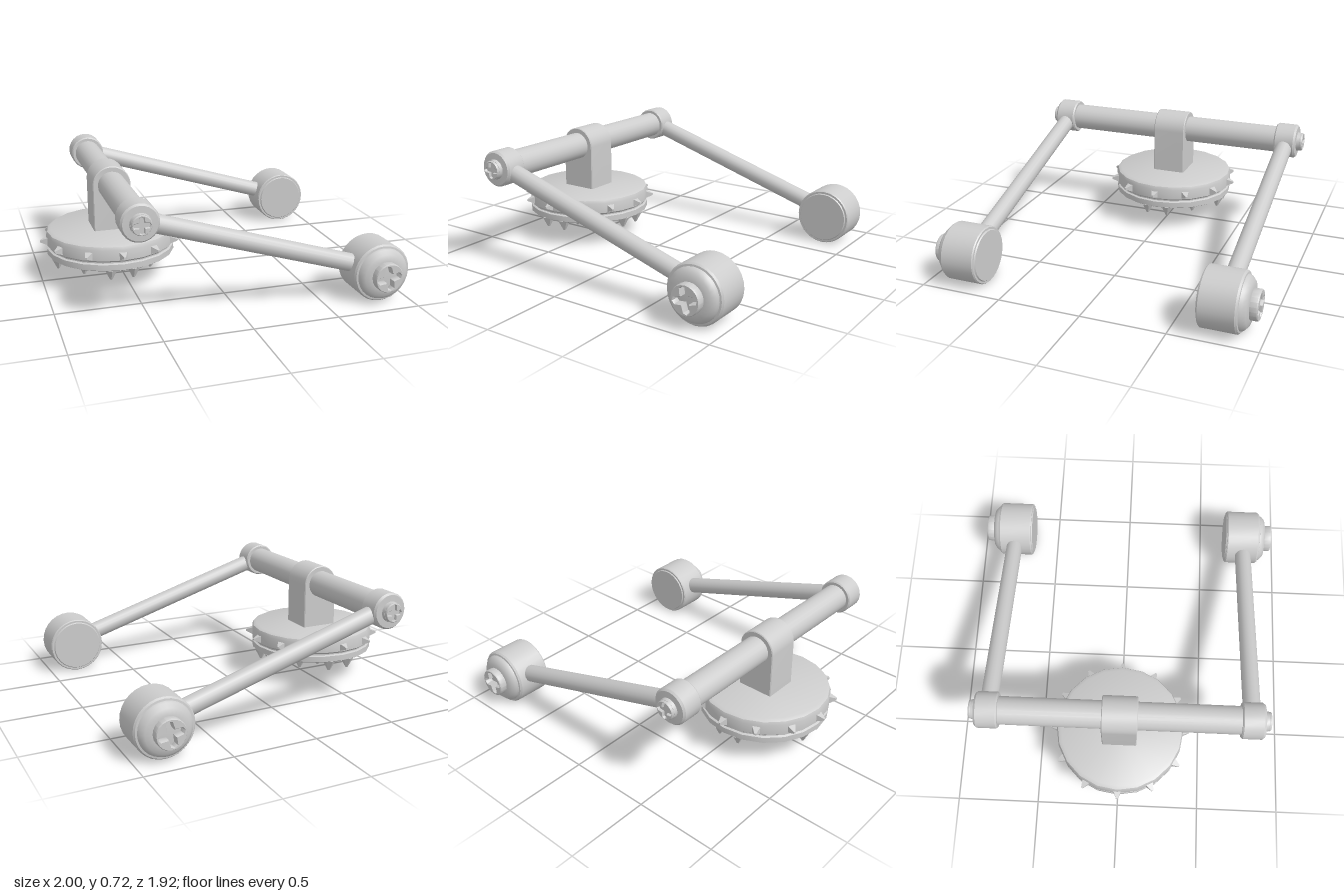
import * as THREE from 'three';
import { toCreasedNormals } from 'three/addons/utils/BufferGeometryUtils.js';

export function createModel() {
  const model = new THREE.Group();
  model.name = 'spikedPressTool';
  const grey = new THREE.MeshStandardMaterial({ color: 0xcccccc });
  grey.name = 'lightSteelGrey';

  const add = (parent, name, geometry, x = 0, y = 0, z = 0) => {
    const mesh = new THREE.Mesh(geometry, grey);
    mesh.name = name;
    mesh.position.set(x, y, z);
    parent.add(mesh);
    return mesh;
  };
  // Turned part, profile given as [radius, height] from bottom to top
  const lathe = (points, sides) => toCreasedNormals(
    new THREE.LatheGeometry(points.map(([r, h]) => new THREE.Vector2(r, h)), sides), 0.6);
  // Turned part whose axis lies along z
  const turnedZ = (points, sides) => lathe(points, sides).rotateX(Math.PI / 2);

  const headX = -0.573, axleY = 0.603, endX = 0.827, endY = 0.173, armZ = 0.77;

  // Round head with a shallow groove around its rim
  add(model, 'spikedHead', lathe([
    [0, 0.16], [0.365, 0.16], [0.388, 0.172], [0.388, 0.207], [0.376, 0.213],
    [0.376, 0.22], [0.39, 0.232], [0.39, 0.295], [0.383, 0.314], [0.362, 0.325], [0, 0.325],
  ], 20), headX);

  // Spikes around the rim
  const rimSpike = toCreasedNormals(new THREE.CylinderGeometry(0.008, 0.042, 0.06, 4), 0.5)
    .rotateY(Math.PI / 4).rotateZ(-Math.PI / 2).translate(0.398, 0, 0);
  for (let i = 0; i < 12; i++) {
    add(model, 'rimSpike', rimSpike, headX, 0.259, 0).rotation.y = i * Math.PI / 6;
  }

  // Grid of spikes beneath the head
  const spike = toCreasedNormals(new THREE.CylinderGeometry(0.042, 0.008, 0.065, 6), 0.5);
  for (let i = 0; i < 6; i++) {
    for (let j = 0; j < 6; j++) {
      const x = (i - 2.5) * 0.134, z = (j - 2.5) * 0.134;
      if (Math.hypot(x, z) < 0.36) add(model, 'bottomSpike', spike, headX + x, 0.134, z);
    }
  }

  // Upright bracket with a rounded top around the axle
  const outline = new THREE.Shape();
  outline.moveTo(-0.114, 0.32 - axleY);
  outline.lineTo(0.114, 0.32 - axleY);
  outline.lineTo(0.114, 0);
  outline.absarc(0, 0, 0.114, 0, Math.PI, false);
  outline.closePath();
  const bracket = new THREE.ExtrudeGeometry(outline, {
    depth: 0.2, bevelEnabled: true, bevelThickness: 0.005, bevelSize: 0.005,
    bevelOffset: -0.005, bevelSegments: 1, curveSegments: 14,
  });
  add(model, 'bracket', toCreasedNormals(bracket, 0.6), headX, axleY, -0.1);

  // Axle
  add(model, 'axle', turnedZ([[0.083, -0.73], [0.083, 0.73]], 24), headX, axleY, 0);

  // Screw head: round button with a flared cross recess
  const screwHead = (parent, name, r, depth, z, turn) => {
    const face = new THREE.Shape();
    face.absarc(0, 0, r, 0, Math.PI * 2, false);
    const recess = new THREE.Path();
    for (let k = 0; k < 4; k++) {
      [[0.76, -0.26], [0.84, 0], [0.76, 0.26], [0.34, Math.PI / 4]].forEach(([f, da], n) => {
        const a = k * Math.PI / 2 + da + turn;
        const p = [Math.cos(a) * r * f, Math.sin(a) * r * f];
        if (k + n === 0) recess.moveTo(...p); else recess.lineTo(...p);
      });
    }
    recess.closePath();
    face.holes.push(recess);
    const geometry = new THREE.ExtrudeGeometry(face, {
      depth: depth - 0.006, bevelEnabled: true, bevelThickness: 0.006, bevelSize: 0.004,
      bevelOffset: -0.004, bevelSegments: 1, curveSegments: 10,
    });
    add(parent, name, toCreasedNormals(geometry, 0.6), 0, 0, z);
  };

  // Collar and weight shapes, measured outward from the middle
  const collar = turnedZ([
    [0.083, 0.705], [0.1, 0.705], [0.107, 0.713], [0.107, 0.828], [0.097, 0.84],
    [0.06, 0.842], [0.057, 0.862], [0, 0.862],
  ], 24);
  const weight = turnedZ([
    [0, 0.65], [0.15, 0.65], [0.155, 0.657], [0.167, 0.657], [0.172, 0.664], [0.172, 0.862],
    [0.164, 0.873], [0.153, 0.875], [0.147, 0.89], [0.125, 0.91], [0.085, 0.916], [0, 0.916],
  ], 28);

  const dx = endX - headX, dy = endY - axleY;
  for (const side of [1, -1]) {
    const word = side > 0 ? 'front' : 'back';
    const turn = side > 0 ? 0 : Math.PI;

    const joint = new THREE.Group();
    joint.name = word + 'Joint';
    joint.position.set(headX, axleY, 0);
    joint.rotation.y = turn;
    add(joint, 'collar', collar);
    screwHead(joint, 'collarScrew', 0.056, 0.017, 0.86, 0);

    const end = new THREE.Group();
    end.name = word + 'Weight';
    end.position.set(endX, endY, 0);
    end.rotation.y = turn;
    add(end, 'weight', weight);
    screwHead(end, 'weightScrew', 0.086, 0.047, 0.913, 0.2);

    // Sloping arm from collar to weight
    const arm = add(model, word + 'Arm',
      new THREE.CylinderGeometry(0.053, 0.053, Math.hypot(dx, dy), 16, 1, true),
      headX + dx / 2, axleY + dy / 2, side * armZ);
    arm.rotation.z = Math.atan2(dy, dx) - Math.PI / 2;
    model.add(joint, end);
  }
  return model;
}
